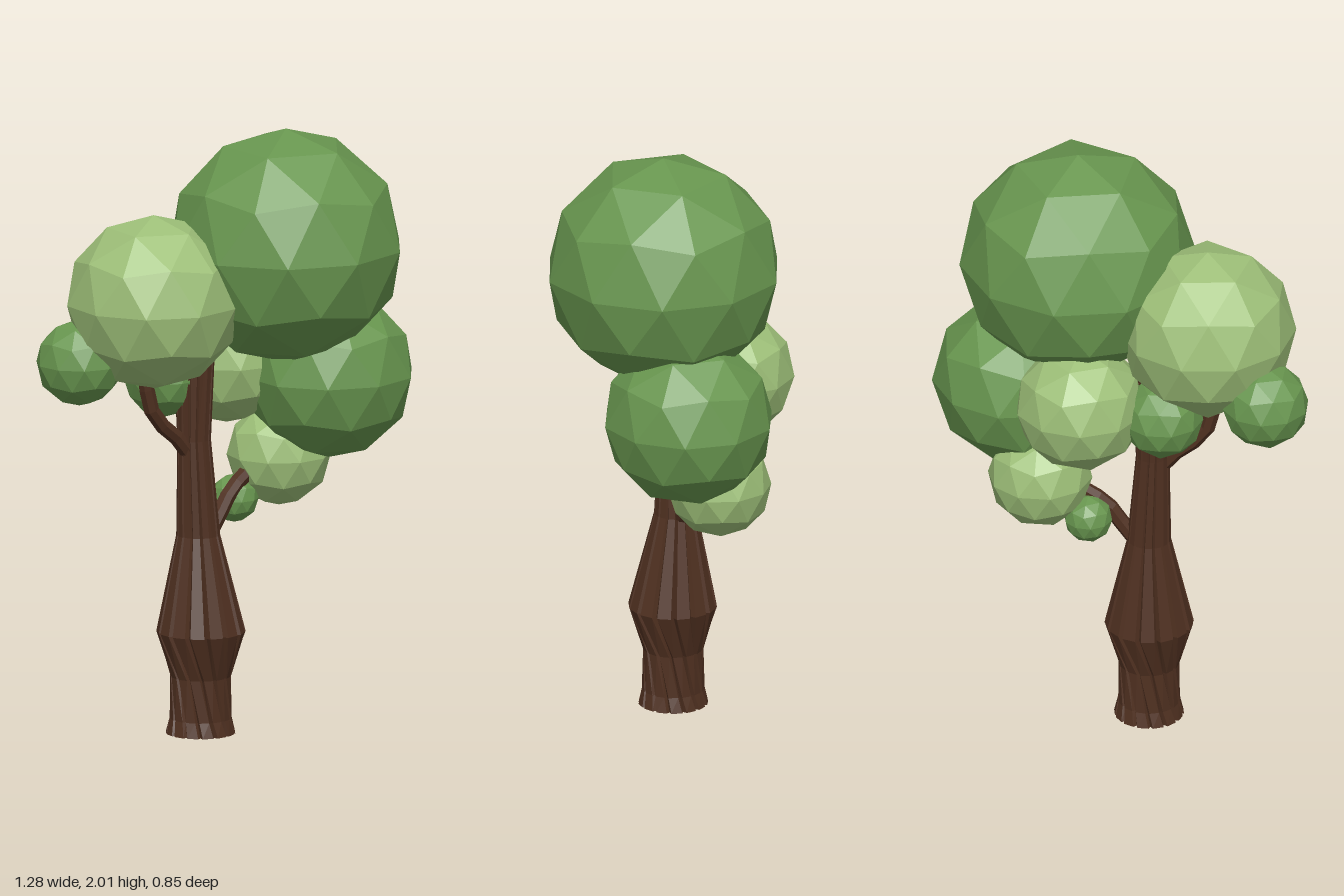
import * as THREE from 'three';

const mat = (color) => new THREE.MeshStandardMaterial({ color, flatShading: true, roughness: 0.9 });
const bark = mat(0x4f3020);
const darkLeaf = mat(0x68964f);
const lightLeaf = mat(0x9dbf78);

// Fluted trunk: ring rows are [y, centre x, centre z, radius, twist]
const RINGS = [
  [0.00, -0.095, -0.090, 0.115, 0.75],
  [0.05, -0.095, -0.090, 0.103, 0.65],
  [0.19, -0.095, -0.090, 0.100, 0.35],
  [0.34, -0.095, -0.088, 0.146, 0.00],
  [0.66, -0.097, -0.100, 0.072, 0.00],
  [0.98, -0.110, -0.105, 0.055, 0.00],
  [1.30, -0.107, -0.110, 0.070, 0.10],
  [1.42, -0.107, -0.110, 0.075, 0.12],
];
// Each flute is a flat ridge followed by a narrow groove: [angle fraction, radius factor]
const FLUTE = [[0, 1], [0.7, 0.99], [0.85, 0.88]];

function trunkGeometry(flutes = 14) {
  const pos = [];
  const idx = [];
  const n = flutes * FLUTE.length;
  for (const [y, cx, cz, r, twist] of RINGS) {
    for (let f = 0; f < flutes; f++) {
      for (const [t, k] of FLUTE) {
        const a = ((f + t) / flutes) * Math.PI * 2 + twist;
        pos.push(cx + Math.sin(a) * r * k, y, cz + Math.cos(a) * r * k);
      }
    }
  }
  for (let i = 0; i < RINGS.length - 1; i++) {
    for (let j = 0; j < n; j++) {
      const a = i * n + j;
      const b = i * n + ((j + 1) % n);
      idx.push(a, b, b + n, a, b + n, a + n);
    }
  }
  // Bottom and top caps
  for (const [row, up] of [[0, false], [RINGS.length - 1, true]]) {
    const [y, cx, cz] = RINGS[row];
    const c = pos.length / 3;
    pos.push(cx, y, cz);
    for (let j = 0; j < n; j++) {
      const a = row * n + j;
      const b = row * n + ((j + 1) % n);
      if (up) idx.push(c, a, b);
      else idx.push(c, b, a);
    }
  }
  const g = new THREE.BufferGeometry();
  g.setAttribute('position', new THREE.Float32BufferAttribute(pos, 3));
  g.setIndex(idx);
  g.computeVertexNormals();
  return g;
}

// Foliage balls: [name, x, y, z, radius, material, turn]
const BALLS = [
  ['crownTop', 0.165, 1.615, 0.03, 0.39, darkLeaf, 0.3],
  ['crownRight', 0.36, 1.16, 0.008, 0.283, darkLeaf, 0.9],
  ['crownLeft', -0.29, 1.465, -0.09, 0.29, lightLeaf, 0.2],
  ['crownBack', 0.11, 1.205, -0.215, 0.215, lightLeaf, 0.5],
  ['crownLow', 0.26, 0.88, -0.13, 0.172, lightLeaf, 0.7],
  ['tuftLeft', -0.505, 1.27, -0.208, 0.143, darkLeaf, 0.4],
  ['tuftBack', -0.16, 1.18, -0.2, 0.135, darkLeaf, 0.1],
  ['tuftLow', 0.095, 0.748, -0.155, 0.08, darkLeaf, 0.6],
];

// Branches: path points and radius
const BRANCHES = [
  ['branchLeft', 0.026, [[-0.1, 0.88, -0.1], [-0.17, 0.98, -0.1], [-0.28, 1.08, -0.1], [-0.31, 1.17, -0.1], [-0.33, 1.32, -0.1]]],
  ['branchRight', 0.027, [[-0.07, 0.63, -0.1], [-0.01, 0.71, -0.105], [0.04, 0.78, -0.11], [0.11, 0.83, -0.12], [0.22, 0.89, -0.13]]],
];

export function createModel() {
  const model = new THREE.Group();
  model.name = 'tree';
  const add = (name, geometry, material) => {
    const mesh = new THREE.Mesh(geometry, material);
    mesh.name = name;
    model.add(mesh);
    return mesh;
  };

  add('trunk', trunkGeometry(), bark);

  for (const [name, radius, points] of BRANCHES) {
    const curve = new THREE.CatmullRomCurve3(points.map((p) => new THREE.Vector3(...p)));
    add(name, new THREE.TubeGeometry(curve, 7, radius, 7, false), bark);
  }

  // A corner of each ball points straight up
  const tilt = -Math.atan((1 + Math.sqrt(5)) / 2);
  for (const [name, x, y, z, r, material, turn] of BALLS) {
    const ball = add(name, new THREE.IcosahedronGeometry(r, 1).rotateX(tilt), material);
    ball.rotation.y = turn;
    ball.position.set(x, y, z);
  }
  return model;
}
